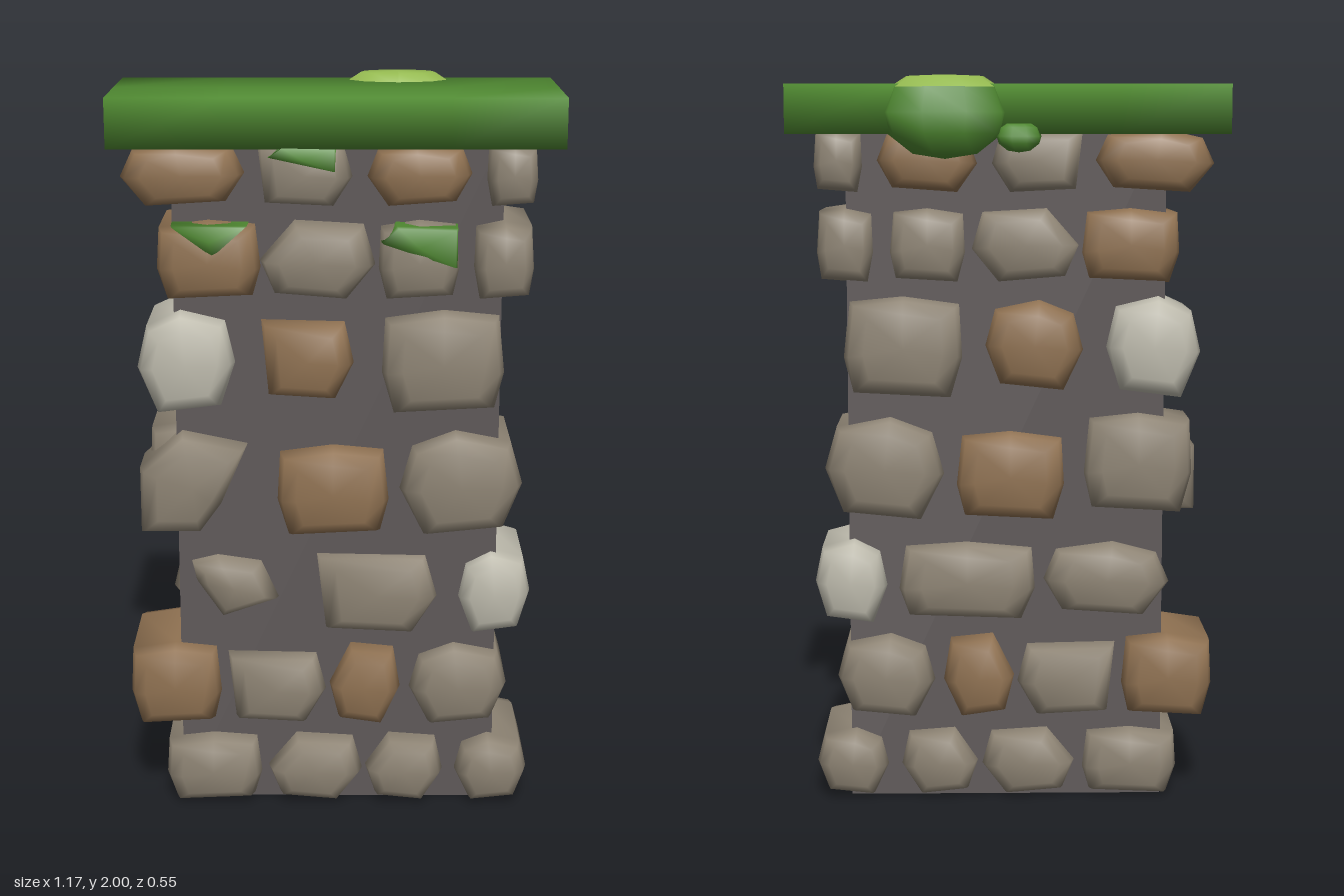
import * as THREE from 'three';
import { mergeVertices } from 'three/addons/utils/BufferGeometryUtils.js';

const mat = (name, color) => {
  const m = new THREE.MeshStandardMaterial({ color });
  m.name = name;
  return m;
};

// Stone outlines within -1..1, clockwise from the front
const shapes = {
  block: [[-.95, .85], [0, 1], [.9, .9], [1, -.2], [.85, -.9], [-.8, -1], [-1, -.2]],
  round: [[-.8, .7], [-.1, 1], [.8, .8], [1, 0], [.7, -.85], [-.6, -1], [-1, -.1]],
  hex: [[-1, 0], [-.4, 1], [.8, .9], [1, -.1], [.5, -1], [-.75, -.85]],
  wedge: [[-1, .3], [-.2, 1], [1, .75], [.5, -.4], [.1, -.95], [-1, -.95]],
  cut: [[-1, .95], [.8, .9], [1, -.1], [.6, -1], [-.85, -.9]],
  shard: [[-1, .8], [-.4, 1], [.6, .8], [1, -.4], [-.3, -1], [-.9, .2]],
  triangle: [[-1, 1], [1, 1], [.1, -1]],
  flap: [[-1, .2], [-.6, 1], [1, .9], [1, -1]],
};

// Rounded stone: outline fitted to a box (x0, x1, y0, y1) and lofted from front to back
function stoneGeometry(outline, zFront, zBack, [x0, x1, y0, y1], rounding = 1) {
  const n = outline.length, pos = [], idx = [];
  const place = ([u, v], s, z) =>
    pos.push((x0 + x1 + (x1 - x0) * u * s) / 2, (y0 + y1 + (y1 - y0) * v * s) / 2, z);
  const layers = [[0, 0.34], [0.02, 0.09], [0.06, 0]];
  for (const [d, k] of layers) outline.forEach((p) => place(p, 1 - k * rounding, zFront - d));
  for (const [d, k] of layers.reverse()) outline.forEach((p) => place(p, 1 - k * rounding, zBack + d));
  const f = 6 * n, b = f + 1;
  place([0, 0], 0, zFront + 0.004);
  place([0, 0], 0, zBack - 0.004);
  for (let i = 0; i < n; i++) {
    const j = (i + 1) % n;
    for (let p = 0; p < 5 * n; p += n) {
      const q = p + n;
      idx.push(p + i, p + j, q + i, p + j, q + j, q + i);
    }
    idx.push(f, j, i, b, 5 * n + i, 5 * n + j);
  }
  const g = new THREE.BufferGeometry();
  g.setAttribute('position', new THREE.Float32BufferAttribute(pos, 3));
  g.setIndex(idx);
  g.computeVertexNormals();
  return g;
}

export function createModel() {
  const model = new THREE.Group();
  const mortar = mat('mortar', 0x5e5858), grey = mat('greyStone', 0x8e8474);
  const brown = mat('brownStone', 0x907252), pale = mat('paleStone', 0xbfbcae);
  const moss = mat('moss', 0x4f8831), leaf = mat('lightMoss', 0x94b950);
  const add = (name, geo, material, parent = model) => {
    const m = new THREE.Mesh(geo, material);
    m.name = name;
    parent.add(m);
    return m;
  };

  // Mortar core
  add('mortarCore', new THREE.BoxGeometry(0.865, 1.88, 0.25).translate(0.002, 0.945, 0.06), mortar);

  // One course of stones; each stone is colour, shape, x0, x1 and optional own y0, y1, front, back
  const course = (name, y0, y1, zFront, zBack, stones) => {
    const group = new THREE.Group();
    group.name = name;
    for (const [m, shape, x0, x1, low = y0, high = y1, front = zFront, back = zBack] of stones)
      add('stone', stoneGeometry(shapes[shape], front, back, [x0, x1, low, high]), m, group);
    model.add(group);
  };
  course('baseCourse', 0.01, 0.2, 0.255, -0.12, [
    [grey, 'block', -.475, -.21], [grey, 'hex', -.19, .07],
    [grey, 'hex', .08, .295], [grey, 'round', .33, .53]]);
  course('secondCourse', 0.235, 0.47, 0.245, -0.132, [
    [brown, 'block', -.57, -.32], [grey, 'cut', -.3, -.03, .24, .45],
    [brown, 'hex', -.02, .175], [grey, 'round', .2, .47]]);
  course('thirdCourse', 0.5, 0.74, 0.23, -0.12, [
    [grey, 'shard', -.4, -.155, .55, .73, .23, .1],
    [grey, 'round', -.45, -.1, .52, .73, .18, -.12],
    [grey, 'cut', -.06, .28, .5, .74, .23, .05],
    [grey, 'block', -.08, .3, .51, .73, .15, -.12],
    [pale, 'round', .33, .53]]);
  course('fourthCourse', 0.79, 1.08, 0.255, -0.118, [
    [grey, 'wedge', -.53, -.24, .79, 1.08, .255, 0],
    [grey, 'block', -.51, -.21, .81, 1.09, .17, -.118],
    [brown, 'block', -.16, .14, .79, 1.04], [grey, 'round', .17, .5]]);
  course('fifthCourse', 1.13, 1.41, 0.248, -0.12, [
    [pale, 'round', -.53, -.27], [brown, 'cut', -.2, .045, 1.17, 1.39, .248, .05],
    [brown, 'round', -.21, .06, 1.15, 1.4, .15, -.12], [grey, 'block', .12, .445]]);
  course('sixthCourse', 1.445, 1.65, 0.268, -0.11, [
    [brown, 'block', -.47, -.2], [grey, 'hex', -.2, .1],
    [grey, 'block', .11, .32], [grey, 'block', .36, .515]]);
  course('topCourse', 1.69, 1.86, 0.266, -0.125, [
    [brown, 'round', -.56, -.24], [grey, 'cut', -.205, .04],
    [brown, 'round', .08, .35], [grey, 'block', .39, .52]]);

  // Moss creeping over the fronts and tops of the upper stones
  for (const [shape, ...box] of [
    ['triangle', -.43, -.23, 1.565, 1.645],
    ['flap', .115, .315, 1.535, 1.645],
    ['flap', -.18, 0, 1.785, 1.85],
  ]) add('mossPatch', stoneGeometry(shapes[shape], 0.27, 0.05, box, 0.2), moss);

  // Mossy cap slab with softened shading
  let slab = new THREE.BoxGeometry(1.175, 0.13, 0.47, 4, 1, 2);
  slab.deleteAttribute('normal');
  slab.deleteAttribute('uv');
  slab = mergeVertices(slab);
  slab.translate(-0.002, 1.91, 0.035);
  slab.computeVertexNormals();
  add('mossSlab', slab, moss);

  // Moss clump hanging over the back edge, with a lighter crown
  const lump = (profile) => {
    const g = new THREE.LatheGeometry(profile.map(([r, y]) => new THREE.Vector2(r, y)), 9);
    const p = g.attributes.position;
    for (let i = 0; i < p.count; i++) p.setZ(i, p.getZ(i) + 0.2 * p.getY(i));
    g.computeVertexNormals();
    return g;
  };
  const body = [[0, -1], [.5, -.88], [.9, -.4], [1, .1], [.86, .7]];
  const crown = [[.86, .7], [.6, .96], [0, 1]];
  const clump = new THREE.Group();
  clump.name = 'mossClump';
  add('clumpBody', lump(body), moss, clump);
  add('clumpCrown', lump(crown), leaf, clump);
  clump.scale.set(0.172, 0.11, 0.1);
  clump.position.set(0.165, 1.89, -0.18);
  model.add(clump);

  const sprig = add('smallMossLump', lump([...body, ...crown.slice(1)]), moss);
  sprig.scale.set(0.06, 0.038, 0.047);
  sprig.position.set(-0.03, 1.835, -0.2);
  return model;
}
